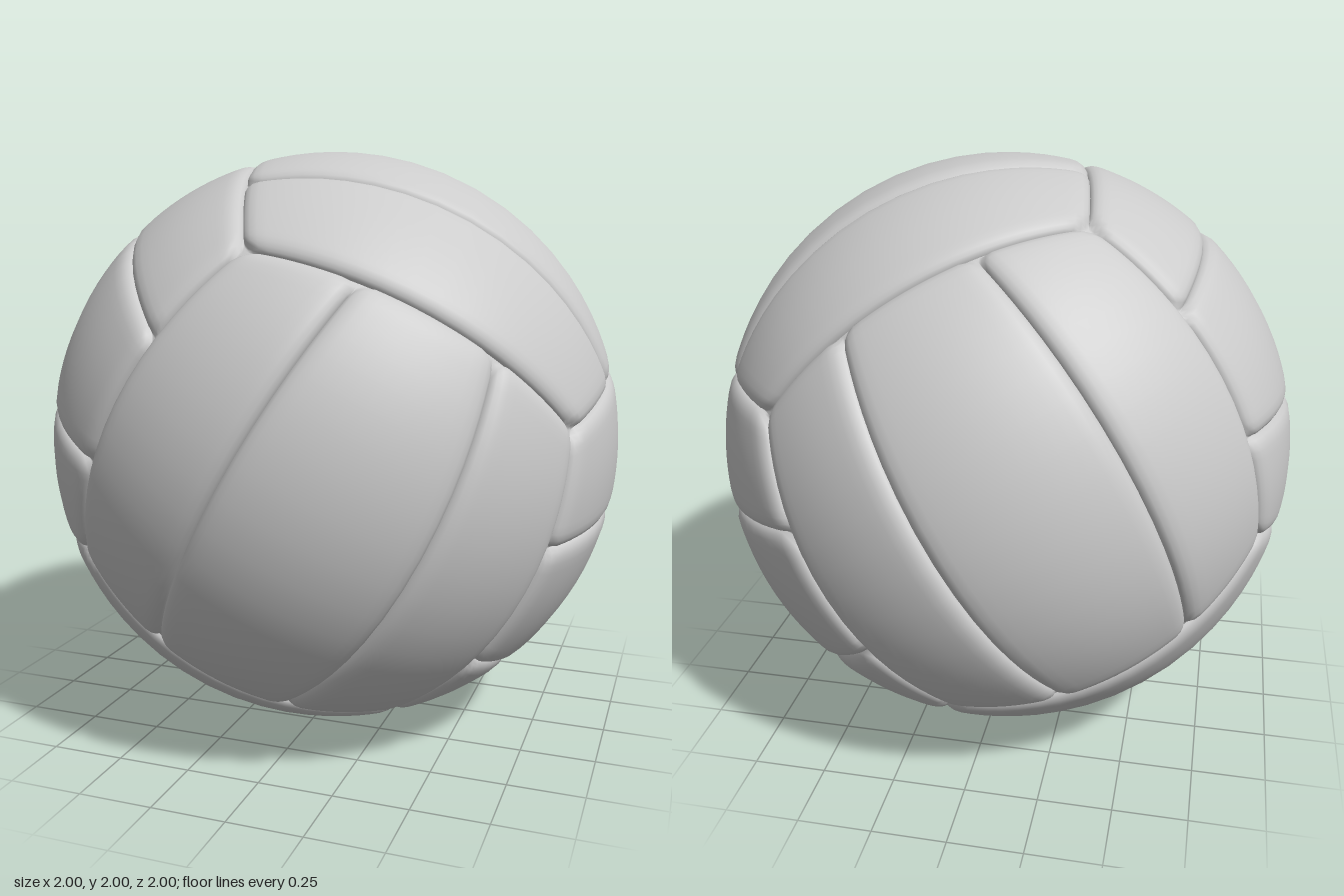
import * as THREE from 'three';

// Groove cross-section: depth below the ball surface and width of the rounded edge
const DEPTH = 0.03, WIDTH = 0.055;
const ACROSS = 18, ALONG = 26;

// One stitched panel: a patch of a cube face projected to the sphere,
// spanning a0..a1 across and -1..1 along, with rounded-down borders.
function panelGeometry(a, b, n, a0, a1) {
  const borders = [[a, a0, 1], [a, a1, -1], [b, -1, 1], [b, 1, -1]].map(
    ([axis, at, sign]) => axis.clone().addScaledVector(n, -at).normalize().multiplyScalar(sign));
  const inset = (p, border) => Math.max(0, 1 - Math.max(0, p.dot(border)) / WIDTH);
  // Samples crowd towards the borders, where the surface curves most
  const ease = (i, count) => (1 - Math.cos((Math.PI * i) / count)) / 2;

  const positions = [], index = [];
  for (let j = 0; j <= ALONG; j++) {
    for (let i = 0; i <= ACROSS; i++) {
      const p = n.clone()
        .addScaledVector(a, a0 + (a1 - a0) * ease(i, ACROSS))
        .addScaledVector(b, -1 + 2 * ease(j, ALONG))
        .normalize();
      const q = Math.min(1, Math.hypot(...borders.map((border) => inset(p, border))));
      p.multiplyScalar(1 - DEPTH * (1 - Math.sqrt(1 - q * q)));
      positions.push(p.x, p.y, p.z);
      if (i < ACROSS && j < ALONG) {
        const k = j * (ACROSS + 1) + i, up = k + ACROSS + 1;
        index.push(k, k + 1, up + 1, k, up + 1, up);
      }
    }
  }
  const geometry = new THREE.BufferGeometry();
  geometry.setAttribute('position', new THREE.Float32BufferAttribute(positions, 3));
  geometry.setIndex(index);
  geometry.computeVertexNormals();
  return geometry;
}

export function createModel() {
  const ball = new THREE.Group();
  ball.name = 'ball';
  const material = new THREE.MeshStandardMaterial({ color: 0xcccccc });

  // Tilted frame of the six panel groups
  const front = new THREE.Vector3(0.25, -0.15, 0.957).normalize();
  const side = new THREE.Vector3(0.823, -0.478, -0.3);
  side.addScaledVector(front, -side.dot(front)).normalize();
  const top = front.clone().cross(side);
  const axes = [side, top, front];
  const names = [['left', 'right'], ['top', 'bottom'], ['front', 'back']];

  // Three parallel panels per side; the strip direction turns from side to side
  for (let k = 0; k < 3; k++) {
    [1, -1].forEach((sign, s) => {
      const group = new THREE.Group();
      group.name = `${names[k][s]}Panels`;
      group.position.y = 1;
      const n = axes[k].clone().multiplyScalar(sign);
      const a = axes[(k + 1) % 3].clone().multiplyScalar(sign);
      const b = axes[(k + 2) % 3];
      for (let i = 0; i < 3; i++) {
        const geometry = panelGeometry(a, b, n, -1 + (2 * i) / 3, -1 + (2 * (i + 1)) / 3);
        const panel = new THREE.Mesh(geometry, material);
        panel.name = `${names[k][s]}Panel${i + 1}`;
        group.add(panel);
      }
      ball.add(group);
    });
  }
  return ball;
}
